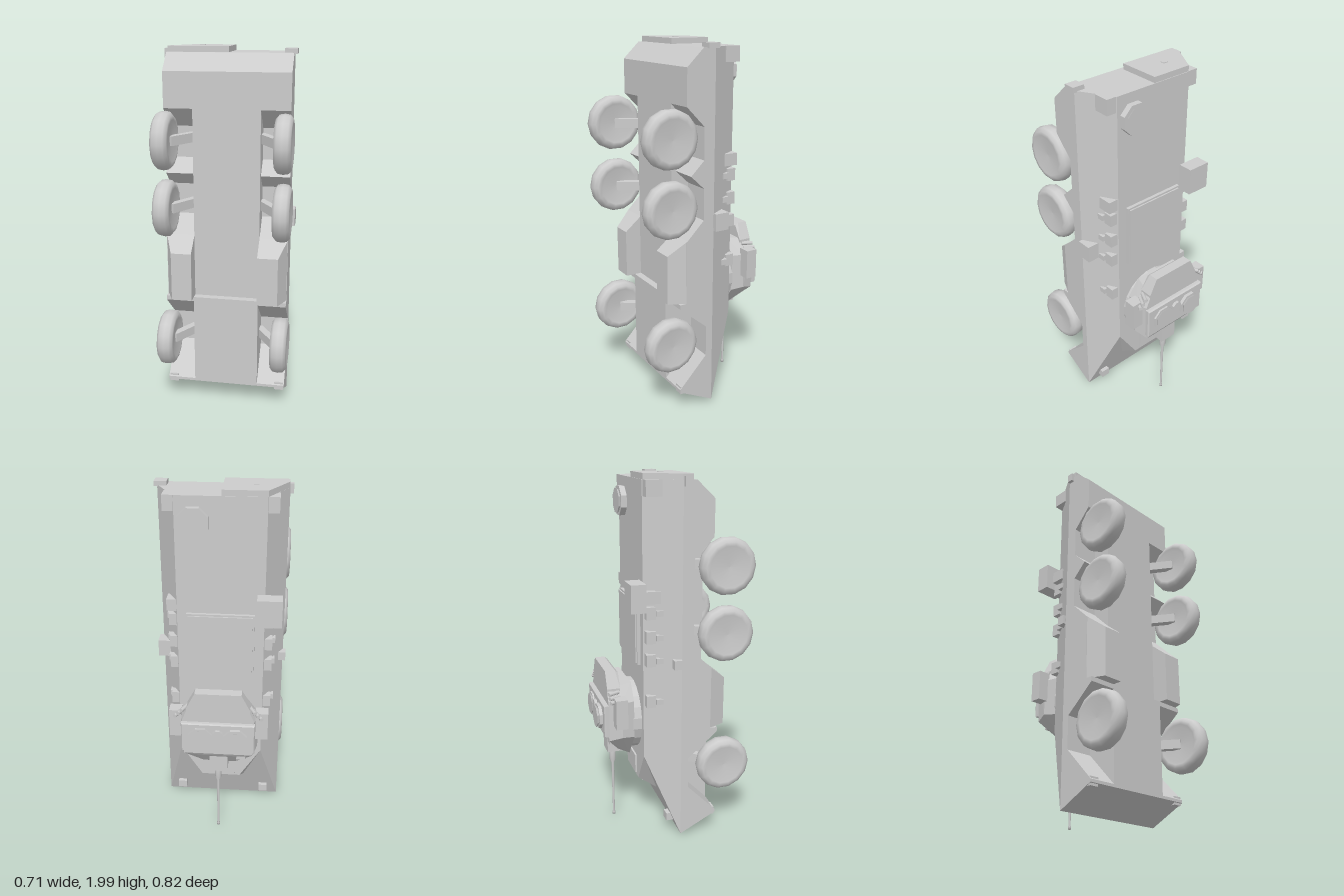
import * as THREE from 'three';
import { ConvexGeometry } from 'three/addons/geometries/ConvexGeometry.js';

// Six-wheeled armoured carrier standing on its nose: length along y, roof towards -z.
export function createModel() {
  const model = new THREE.Group();
  const paint = new THREE.MeshStandardMaterial({ color: 0xcccccc });
  paint.name = 'light grey';

  const add = (name, geometry) => {
    const mesh = new THREE.Mesh(geometry, paint);
    mesh.name = name;
    model.add(mesh);
    return mesh;
  };
  const box = (name, x0, x1, y0, y1, z0, z1) =>
    add(name, new THREE.BoxGeometry(x1 - x0, y1 - y0, z1 - z0)
      .translate((x0 + x1) / 2, (y0 + y1) / 2, (z0 + z1) / 2));
  // Convex solid from points [halfWidth, y, z], mirrored across x
  const mirrored = (name, points) =>
    add(name, new ConvexGeometry(points.flatMap(([x, y, z]) =>
      [new THREE.Vector3(x, y, z), new THREE.Vector3(-x, y, z)])));
  // Side profile of [z, y] points extruded from x0 to x1
  const profile = (name, points, x0, x1) => {
    const shape = new THREE.Shape(points.map(p => new THREE.Vector2(...p)));
    const g = new THREE.ExtrudeGeometry(shape, { depth: x1 - x0, bevelEnabled: false });
    add(name, g.rotateY(-Math.PI / 2).translate(x1, 0, 0));
  };
  // Faceted disc facing the roof, from z0 (inner) to z1 (outer)
  const disc = (name, x, y, z0, z1, r0, r1, sides) => {
    const g = new THREE.CylinderGeometry(r0, r1, z0 - z1, sides, 1, false, Math.PI / sides)
      .rotateX(-Math.PI / 2).translate(x, y, (z0 + z1) / 2).toNonIndexed();
    g.computeVertexNormals();
    add(name, g);
  };

  // Hull
  mirrored('upperHull', [[0.335, 0.01, 0.01], [0.335, 1.96, 0.01], [0.23, 0.47, -0.172], [0.23, 1.96, -0.172]]);
  profile('centreHull', [[0.01, 0.01], [0.215, 0.115], [0.215, 0.64], [0.175, 0.64],
    [0.175, 1.87], [0.08, 1.96], [0.01, 1.96]], -0.18, 0.18);
  const sponson = [[0.01, 0.01], [0.215, 0.115], [0.215, 0.13], [0.05, 0.3], [0.05, 0.475],
    [0.215, 0.615], [0.215, 0.64], [0.175, 0.64], [0.175, 0.985], [0.072, 1.087], [0.072, 1.257],
    [0.15, 1.33], [0.072, 1.405], [0.072, 1.575], [0.175, 1.68], [0.175, 1.87], [0.08, 1.96], [0.01, 1.96]];
  profile('leftSponson', sponson, 0.18, 0.335);
  profile('rightSponson', sponson, -0.335, -0.18);
  mirrored('glacisBlock', [[0.13, 0.2, -0.055], [0.11, 0.28, -0.172], [0.23, 0.47, -0.172]]);
  box('driverHatch', -0.08, 0.08, 0.3, 0.41, -0.182, -0.17);

  // Wheels, suspension arms and belly boxes
  const tyre = [[0, -0.03], [0.095, -0.036], [0.11, -0.045], [0.13, -0.043], [0.148, -0.028],
    [0.153, 0], [0.148, 0.028], [0.13, 0.043], [0.11, 0.045], [0.095, 0.038], [0, 0.032]]
    .map(p => new THREE.Vector2(...p));
  for (const s of [-1, 1]) {
    for (const y of [0.41, 1.165, 1.525]) {
      add('wheel', new THREE.LatheGeometry(tyre, 14).rotateZ(-s * Math.PI / 2).translate(s * 0.31, y, 0.26));
      const arm = box('suspensionArm', -0.1, 0.1, -0.025, 0.025, -0.02, 0.02);
      arm.position.set(s * 0.23, y, 0.18);
      arm.rotation.y = -s * 1;
    }
    const pannier = [[0.18, 0.64, 0.17], [0.18, 0.99, 0.17], [0.335, 0.64, 0.17], [0.335, 0.99, 0.17],
      [0.18, 0.64, 0.267], [0.18, 0.91, 0.267], [0.292, 0.64, 0.267], [0.292, 0.91, 0.267]];
    add('pannier', new ConvexGeometry(pannier.map(([x, y, z]) => new THREE.Vector3(s * x, y, z))));
  }

  // Boxes and brackets repeated on both sides
  const pair = (name, x0, x1, ...rest) => {
    box(name, x0, x1, ...rest);
    box(name, -x1, -x0, ...rest);
  };
  pair('headlamp', 0.225, 0.275, 0.07, 0.115, -0.055, -0.015);
  pair('towHook', 0.28, 0.33, 0.1, 0.145, 0.17, 0.21);
  pair('rearLampBox', 0.21, 0.287, 1.88, 1.96, -0.168, -0.083);
  pair('sideLocker', 0.22, 0.285, 1.345, 1.41, -0.168, -0.09);
  for (const y of [0.807, 1.037, 1.163, 1.293]) {
    pair('bracket', 0.23, 0.275, y - 0.033, y + 0.033, -0.165, -0.115);
    pair('bracketTip', 0.26, 0.29, y - 0.015, y + 0.015, -0.115, -0.078);
  }
  box('leftSideBox', 0.285, 0.355, 1.02, 1.115, -0.072, 0.008);
  box('rightSideBox', -0.35, -0.31, 1.0, 1.05, -0.036, 0.008);
  box('leftTailBox', 0.285, 0.35, 1.955, 1.982, -0.003, 0.06);
  box('rightTailBox', -0.353, -0.32, 1.93, 1.978, 0.013, 0.047);

  // Rear door
  const door = new THREE.Shape([[-0.005, -0.168], [-0.23, -0.168], [-0.333, 0.008], [-0.333, 0.06], [-0.005, 0.06]]
    .map(([x, z]) => new THREE.Vector2(x, -z)));
  add('rearDoor', new THREE.ExtrudeGeometry(door, { depth: 0.035, bevelEnabled: false })
    .rotateX(-Math.PI / 2).translate(0, 1.955, 0));
  box('doorHandle', -0.181, -0.155, 1.985, 1.993, -0.071, -0.045);

  // Roof fittings
  box('roofHatch', -0.18, 0.18, 0.99, 1.34, -0.19, -0.17);
  box('roofHatchPanel', -0.17, 0.17, 1.0, 1.33, -0.198, -0.19);
  box('stowageBox', -0.32, -0.19, 1.31, 1.457, -0.258, -0.178);
  disc('rearHatch', 0.135, 1.83, -0.17, -0.203, 0.083, 0.083, 8);
  disc('rearHatchLid', 0.135, 1.83, -0.203, -0.214, 0.07, 0.062, 8);

  // Turret
  disc('turretRing', 0, 0.655, -0.17, -0.22, 0.2, 0.2, 20);
  mirrored('turretBody', [
    [0.08, 0.43, -0.215], [0.195, 0.58, -0.215], [0.195, 0.79, -0.215], [0.13, 0.88, -0.215],
    [0.09, 0.47, -0.285], [0.213, 0.59, -0.285], [0.213, 0.79, -0.285], [0.15, 0.875, -0.285],
    [0.1, 0.55, -0.345], [0.19, 0.57, -0.357], [0.195, 0.79, -0.357], [0.165, 0.86, -0.357]]);
  mirrored('turretBustle', [[0.17, 0.83, -0.357], [0.17, 0.83, -0.285], [0.17, 0.865, -0.285],
    [0.17, 0.865, -0.357], [0.125, 0.955, -0.357], [0.125, 0.955, -0.302], [0.125, 0.94, -0.285]]);
  mirrored('turretRoof', [[0.2, 0.6, -0.355], [0.2, 0.78, -0.355], [0.2, 0.6, -0.374],
    [0.2, 0.78, -0.374], [0.195, 0.605, -0.382], [0.195, 0.775, -0.382]]);
  pair('turretSideBox', 0.2, 0.268, 0.665, 0.83, -0.332, -0.268);
  box('mantlet', -0.05, 0.05, 0.435, 0.57, -0.335, -0.25);
  box('sight', -0.15, -0.1, 0.53, 0.575, -0.345, -0.3);
  disc('rightCupola', -0.095, 0.69, -0.38, -0.4, 0.07, 0.07, 8);
  disc('rightCupolaLid', -0.095, 0.69, -0.4, -0.412, 0.063, 0.055, 8);
  disc('leftCupola', 0.095, 0.69, -0.38, -0.392, 0.07, 0.07, 8);
  disc('leftCupolaLid', 0.095, 0.69, -0.392, -0.4, 0.063, 0.057, 8);
  disc('ventilator', 0, 0.72, -0.38, -0.398, 0.03, 0.03, 8);

  // Smoke launchers fanned out from the turret sides
  for (const s of [-1, 1]) {
    for (let i = 0; i < 3; i++) {
      const tube = add('smokeLauncher', new THREE.CylinderGeometry(0.011, 0.011, 0.065, 8));
      tube.position.set(s * (0.185 + i * 0.018), 0.845 - i * 0.018, -0.325);
      tube.rotation.set(-Math.PI / 2, 0, -s * 0.45);
    }
  }

  // Gun pointing to the nose
  const gun = [[0, 0], [0.009, 0], [0.009, 0.014], [0.006, 0.02], [0.008, 0.34], [0.018, 0.365],
    [0.02, 0.46], [0, 0.46]].map(p => new THREE.Vector2(...p));
  add('gunBarrel', new THREE.LatheGeometry(gun, 12).translate(0.005, 0, -0.295));

  return model;
}
